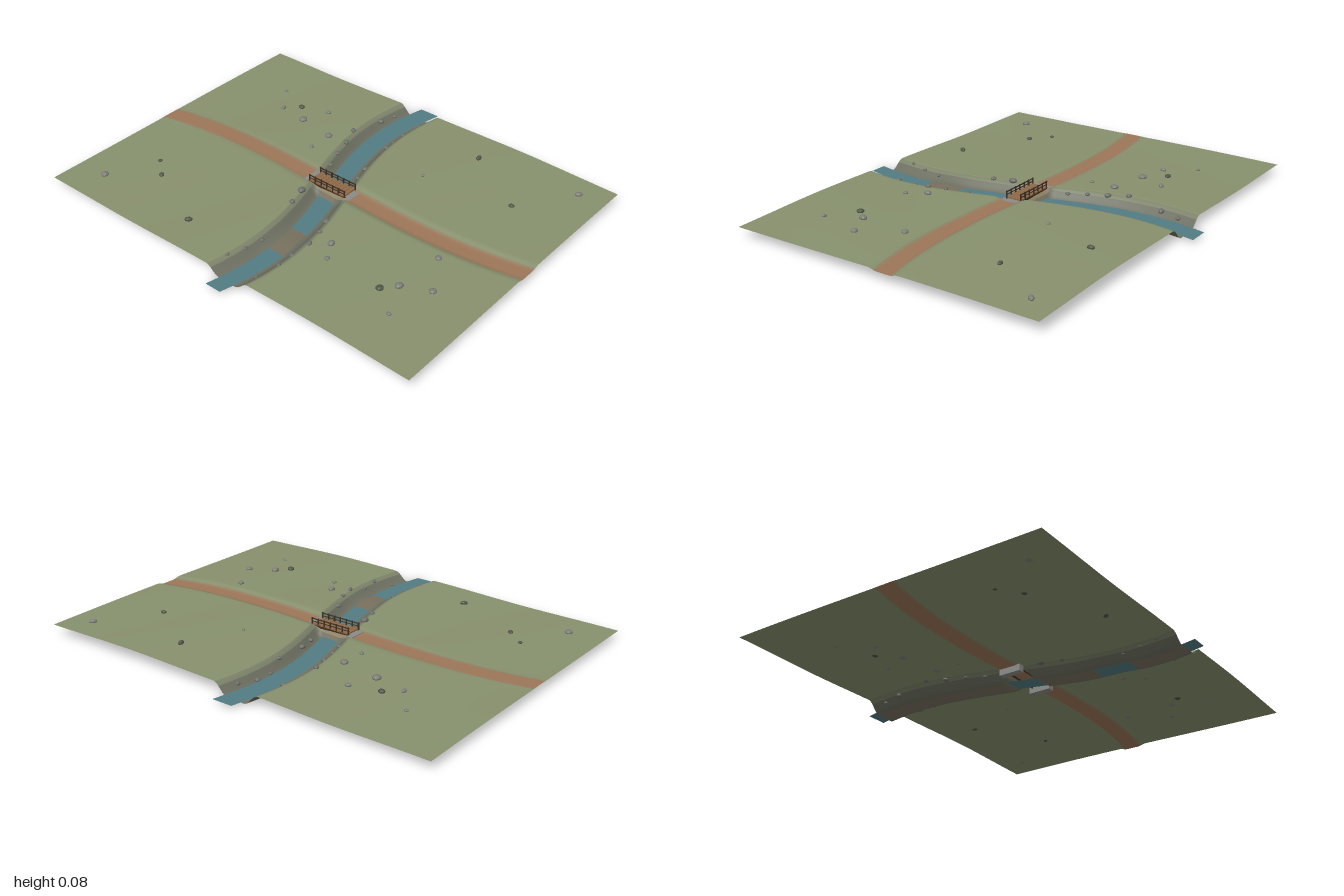
import * as THREE from 'three';

const { clamp, lerp, smoothstep } = THREE.MathUtils;

// Centre lines of the stream (x for a z) and the road (z for an x)
const river = z => 0.105 * Math.sin(3 * z);
const road = x => 0.065 * x - 0.1 * x ** 3;

// Ground height: gentle hills, carved by the stream, levelled by the road
function height(x, z) {
  const hill = 0.05 + 0.009 * Math.sin(2.4 * x + 0.2) - 0.006 * x * x
    + 0.004 * Math.cos(2 * (z + 0.3)) + 0.0012 * Math.sin(9 * x + 4 * z);
  const bed = 0.009 * smoothstep(z, -0.2, 0.1) + 0.009 * Math.exp(-(((z - 0.4) / 0.1) ** 2));
  const carved = lerp(bed, hill, smoothstep(Math.abs(x - river(z)), 0.045, 0.115));
  const level = 0.043 + 0.25 * (hill - 0.05);
  return lerp(level, carved, smoothstep(Math.abs(z - road(x)), 0.03, 0.075));
}

function mat(color, side = THREE.FrontSide) {
  return new THREE.MeshStandardMaterial({ color, side });
}

// Grid lines, dense in the middle band of half-width m
function gridLines(end, m, outer, inner) {
  const out = [];
  for (let i = 0; i < outer; i++) out.push(lerp(-end, -m, i / outer));
  for (let i = 0; i < inner; i++) out.push(lerp(-m, m, i / inner));
  for (let i = 0; i <= outer; i++) out.push(lerp(m, end, i / outer));
  return out;
}

// Ground sheet whose grid bends along stream and road, split into zones
function makeGround() {
  const us = gridLines(1, 0.13, 36, 26), vs = gridLines(0.75, 0.08, 36, 16);
  const pos = [];
  for (const v of vs) for (const u of us) {
    const z = v + road(u) * clamp((0.75 - Math.abs(v)) / 0.5, 0, 1);
    const x = u + river(z) * clamp((1 - Math.abs(u)) / 0.8, 0, 1);
    pos.push(x, height(x, z), z);
  }
  const zones = {
    grass: { color: 0x87906d, index: [] },
    roadEdge: { color: 0x8d8266, index: [] },
    road: { color: 0x9c7658, index: [] },
    bankEdge: { color: 0x7c8369, index: [] },
    bank: { color: 0x6c6f60, index: [] },
    streamBed: { color: 0x77705e, index: [] },
  };
  const all = [], n = us.length;
  for (let j = 0; j < vs.length - 1; j++) for (let i = 0; i < n - 1; i++) {
    const u = Math.abs(us[i] + us[i + 1]) / 2, v = Math.abs(vs[j] + vs[j + 1]) / 2;
    const zone = v < 0.04 ? 'road' : v < 0.05 ? 'roadEdge' : u < 0.04 ? 'streamBed'
      : u < 0.09 ? 'bank' : u < 0.11 ? 'bankEdge' : 'grass';
    const a = j * n + i, b = a + 1, c = a + n, d = c + 1;
    const quad = [a, c, b, b, c, d];
    zones[zone].index.push(...quad);
    all.push(...quad);
  }
  const whole = new THREE.BufferGeometry();
  whole.setAttribute('position', new THREE.Float32BufferAttribute(pos, 3));
  whole.setIndex(all);
  whole.computeVertexNormals();
  const group = new THREE.Group();
  group.name = 'ground';
  for (const [name, { color, index }] of Object.entries(zones)) {
    const geo = new THREE.BufferGeometry();
    geo.setAttribute('position', whole.attributes.position);
    geo.setAttribute('normal', whole.attributes.normal);
    geo.setIndex(index);
    const mesh = new THREE.Mesh(geo, mat(color, THREE.DoubleSide));
    mesh.name = name;
    group.add(mesh);
  }
  return group;
}

// Flat ribbon of water that runs a little past the ground
function makeWater() {
  const geo = new THREE.PlaneGeometry(1, 1.63, 1, 60).rotateX(-Math.PI / 2);
  const p = geo.attributes.position;
  for (let i = 0; i < p.count; i++) {
    const z = p.getZ(i);
    p.setXYZ(i, river(z) + p.getX(i) * lerp(0.1, 0.08, (z + 0.815) / 1.63), 0.0135, z);
  }
  geo.computeVertexNormals();
  const water = new THREE.Mesh(geo, mat(0x527c82, THREE.DoubleSide));
  water.name = 'water';
  return water;
}

function makeBridge() {
  const bridge = new THREE.Group();
  bridge.name = 'bridge';
  const wood = mat(0x8f6a48), dark = mat(0x3d3024), stone = mat(0x8a8a86);
  const box = (name, m, w, h, d, x, y, z) => {
    const mesh = new THREE.Mesh(new THREE.BoxGeometry(w, h, d), m);
    mesh.position.set(x, y, z);
    mesh.name = name;
    bridge.add(mesh);
  };
  // Deck planks
  for (let i = 0; i < 10; i++) box('plank', wood, 0.0185, 0.006, 0.078, -0.09 + i * 0.02, 0.05, 0);
  // Beams, rails and posts on both sides
  for (const s of [-1, 1]) {
    box('beam', dark, 0.21, 0.009, 0.007, 0, 0.0425, s * 0.036);
    box('lowerRail', dark, 0.208, 0.003, 0.003, 0, 0.063, s * 0.037);
    box('upperRail', dark, 0.208, 0.004, 0.004, 0, 0.076, s * 0.037);
    for (let i = 0; i < 7; i++) box('post', dark, 0.005, 0.036, 0.005, -0.1 + i * 0.2 / 6, 0.062, s * 0.037);
    // Stone abutment under each end
    box('abutment', stone, 0.032, 0.031, 0.106, s * 0.116, 0.0305, 0);
  }
  return bridge;
}

// Stones and bushes as x, z, radius
const fieldStones = [
  [-0.71, -0.48, 0.01], [-0.61, -0.35, 0.015], [-0.41, -0.45, 0.015], [-0.46, -0.325, 0.02],
  [-0.27, -0.29, 0.018], [-0.27, -0.17, 0.012], [0.875, -0.63, 0.018], [0.275, -0.3, 0.01],
  [0.675, 0.13, 0.015], [0.78, 0.31, 0.016], [0.66, 0.37, 0.02], [0.73, 0.525, 0.012],
  [0.28, 0.335, 0.018], [0.33, 0.42, 0.012], [-0.84, 0.59, 0.018],
];
const bankStones = [
  [-0.17, -0.665, 0.013], [-0.02, -0.665, 0.012], [-0.185, -0.575, 0.018], [-0.04, -0.57, 0.014],
  [-0.04, -0.49, 0.01], [-0.21, -0.4, 0.014], [-0.01, -0.4, 0.014], [-0.18, -0.31, 0.017],
  [-0.155, -0.22, 0.012], [-0.125, -0.135, 0.012], [0.01, -0.22, 0.016], [0.03, -0.14, 0.015],
  [-0.07, 0.125, 0.02], [-0.045, 0.215, 0.013], [0.15, 0.215, 0.016], [0.19, 0.305, 0.012],
  [0.21, 0.39, 0.014], [0.025, 0.48, 0.01], [0.19, 0.48, 0.01], [0.015, 0.57, 0.01],
  [0.2, 0.57, 0.013], [-0.005, 0.655, 0.01], [0.155, 0.655, 0.01],
];
const bushes = [
  [-0.545, -0.41, 0.016], [0.385, -0.575, 0.017], [0.7, -0.365, 0.014], [0.61, 0.43, 0.017],
  [-0.73, 0.355, 0.01], [-0.64, 0.43, 0.014], [-0.3, 0.59, 0.018],
];

function scatter(name, spots, color) {
  const group = new THREE.Group();
  group.name = name;
  const geo = new THREE.IcosahedronGeometry(1, 1);
  const material = new THREE.MeshStandardMaterial({ color, flatShading: true });
  spots.forEach(([x, z, r], i) => {
    const mesh = new THREE.Mesh(geo, material);
    mesh.name = name + (i + 1);
    mesh.position.set(x, height(x, z) + r * 0.25, z);
    mesh.scale.set(r, r * 0.6, r * (0.85 + 0.2 * Math.sin(i * 5)));
    mesh.rotation.y = i * 1.7;
    group.add(mesh);
  });
  return group;
}

export function createModel() {
  const model = new THREE.Group();
  model.name = 'streamCrossing';
  model.add(
    makeGround(), makeWater(), makeBridge(),
    scatter('fieldStone', fieldStones, 0x7c7c76),
    scatter('bankStone', bankStones, 0x6c6e69),
    scatter('bush', bushes, 0x4f5546),
  );
  return model;
}
